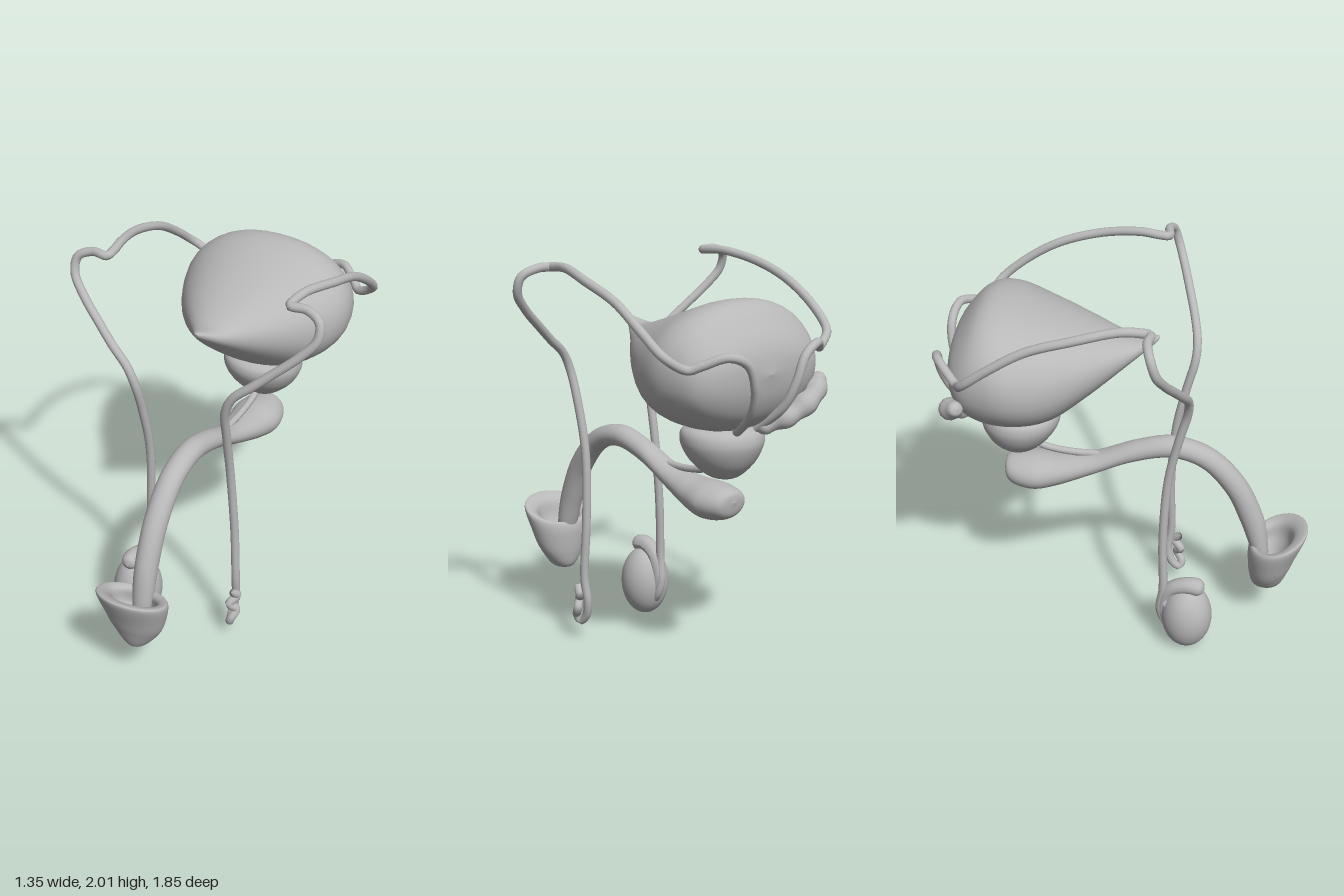
import * as THREE from 'three';

const tissue = new THREE.MeshStandardMaterial({ color: 0xb8b8b8 });
tissue.name = 'tissueGrey';

const V = (x, y, z) => new THREE.Vector3(x, y, z);

function addMesh(group, name, geometry) {
  const mesh = new THREE.Mesh(geometry, tissue);
  mesh.name = name;
  group.add(mesh);
  return mesh;
}

// Smooth loft symmetric in x. Each station is [zA, yA, zB, yB, halfWidth]:
// two opposite outline points in the middle plane, and the half width there.
function loft(stations, power = 1, rows = 72, cols = 40) {
  const spline = (f) => new THREE.CatmullRomCurve3(stations.map(f), false, 'catmullrom', 0.5);
  const sideA = spline((s) => V(0, s[1], s[0]));
  const sideB = spline((s) => V(0, s[3], s[2]));
  const width = spline((s) => V(s[4], 0, 0));
  const soft = (v) => Math.sign(v) * Math.abs(v) ** power;
  const pos = [], index = [];
  for (let i = 0; i <= rows; i++) {
    const t = i / rows;
    const a = sideA.getPoint(t), b = sideB.getPoint(t);
    const w = Math.max(0, width.getPoint(t).x);
    const mid = a.clone().add(b).multiplyScalar(0.5);
    const half = a.sub(mid);
    for (let j = 0; j < cols; j++) {
      const q = (j / cols) * Math.PI * 2;
      const c = soft(Math.cos(q)), s = soft(Math.sin(q));
      pos.push(w * s, mid.y + half.y * c, mid.z + half.z * c);
      if (i < rows) {
        const k = (j + 1) % cols, p = i * cols, n = p + cols;
        index.push(p + j, p + k, n + k, p + j, n + k, n + j);
      }
    }
  }
  const g = new THREE.BufferGeometry();
  g.setAttribute('position', new THREE.Float32BufferAttribute(pos, 3));
  g.setIndex(index);
  g.computeVertexNormals();
  return g;
}

// Tube with rounded ends whose radius follows shape(u)
function tube(points, radius, segments, shape = () => 1) {
  const curve = new THREE.CatmullRomCurve3(points);
  const radial = 12;
  const g = new THREE.TubeGeometry(curve, segments, radius, radial);
  const length = curve.getLength(), p = g.attributes.position, v = V();
  for (let i = 0; i <= segments; i++) {
    const u = i / segments;
    const fromEnd = Math.min(1, (Math.min(u, 1 - u) * length) / radius);
    const k = shape(u) * Math.sqrt(1 - (1 - fromEnd) ** 2);
    const centre = curve.getPointAt(u);
    for (let j = 0; j <= radial; j++) {
      const n = i * (radial + 1) + j;
      v.fromBufferAttribute(p, n).sub(centre).multiplyScalar(k).add(centre);
      p.setXYZ(n, v.x, v.y, v.z);
    }
  }
  if (shape.length) g.computeVertexNormals();
  return g;
}

export function createModel() {
  const group = new THREE.Group();
  group.name = 'maleReproductiveAnatomy';

  // Bladder, from the pointed front to the blunt back
  addMesh(group, 'bladder', loft([
    [0.14, 1.675, 0.14, 1.675, 0],
    [0.13, 1.69, 0.12, 1.65, 0.022],
    [0, 1.672, 0, 1.55, 0.11],
    [-0.2, 1.73, -0.2, 1.39, 0.275],
    [-0.4, 1.80, -0.36, 1.28, 0.39],
    [-0.58, 1.86, -0.52, 1.25, 0.45],
    [-0.7, 1.85, -0.68, 1.26, 0.43],
    [-0.8, 1.75, -0.78, 1.32, 0.37],
    [-0.85, 1.66, -0.84, 1.42, 0.25],
    [-0.87, 1.55, -0.87, 1.55, 0],
  ], 0.93));

  // Prostate, bottom to top
  addMesh(group, 'prostate', loft([
    [-0.57, 1.0, -0.57, 1.0, 0],
    [-0.48, 1.02, -0.64, 1.015, 0.08],
    [-0.39, 1.11, -0.71, 1.09, 0.17],
    [-0.35, 1.2, -0.745, 1.19, 0.208],
    [-0.39, 1.255, -0.7, 1.26, 0.17],
    [-0.55, 1.27, -0.55, 1.27, 0],
  ]));

  // Shaft, from the rear bulb over the arch and down
  addMesh(group, 'shaftAndBulb', loft([
    [-0.64, 0.89, -0.64, 0.89, 0],
    [-0.61, 0.81, -0.62, 0.945, 0.09],
    [-0.5, 0.78, -0.5, 0.965, 0.13],
    [-0.38, 0.80, -0.37, 0.965, 0.11],
    [-0.2, 0.87, -0.18, 0.99, 0.075],
    [0, 0.955, 0.03, 1.075, 0.06],
    [0.2, 1.0, 0.22, 1.112, 0.06],
    [0.36, 0.95, 0.42, 1.045, 0.06],
    [0.49, 0.8, 0.58, 0.88, 0.06],
    [0.57, 0.62, 0.68, 0.67, 0.058],
    [0.62, 0.48, 0.715, 0.5, 0.055],
    [0.66, 0.38, 0.72, 0.38, 0.04],
    [0.69, 0.34, 0.69, 0.34, 0],
  ], 1, 110));

  // Hollow cup: outer wall up, over the rim, inner wall down
  addMesh(group, 'glans', loft([
    [0.72, 0.215, 0.72, 0.215, 0],
    [0.79, 0.24, 0.65, 0.235, 0.06],
    [0.84, 0.36, 0.625, 0.31, 0.13],
    [0.87, 0.45, 0.615, 0.42, 0.165],
    [0.915, 0.575, 0.62, 0.475, 0.185],
    [0.905, 0.598, 0.635, 0.495, 0.17],
    [0.85, 0.56, 0.66, 0.475, 0.125],
    [0.82, 0.46, 0.66, 0.4, 0.1],
    [0.74, 0.34, 0.70, 0.34, 0],
  ]));

  addMesh(group, 'urethra', tube(
    [V(0, 1.06, -0.52), V(0, 1.015, -0.43), V(0, 0.99, -0.3), V(0, 0.985, -0.15)], 0.018, 30));

  // Long ducts: coiled tail, rise, high bend, run along the bladder, descent behind it
  const duct = [
    [0.26, 0.3, 0.25], [0.278, 0.26, 0.21], [0.25, 0.22, 0.25], [0.28, 0.18, 0.225],
    [0.262, 0.13, 0.255], [0.25, 0.1, 0.24], [0.243, 0.14, 0.2], [0.25, 0.22, 0.18],
    [0.257, 0.35, 0.195], [0.245, 0.65, 0.19], [0.23, 1.0, 0.21], [0.235, 1.25, 0.26],
    [0.25, 1.42, 0.302], [0.29, 1.51, 0.305], [0.38, 1.59, 0.285], [0.47, 1.67, 0.255],
    [0.58, 1.77, 0.215], [0.65, 1.86, 0.18], [0.645, 1.94, 0.155], [0.57, 1.975, 0.135],
    [0.49, 1.975, 0.14], [0.485, 1.98, 0.09], [0.5, 1.985, 0], [0.54, 1.95, -0.2],
    [0.545, 1.88, -0.42], [0.545, 1.77, -0.6], [0.515, 1.67, -0.72], [0.42, 1.61, -0.765],
    [0.37, 1.63, -0.81], [0.28, 1.665, -0.88], [0.18, 1.62, -0.905], [0.13, 1.5, -0.9],
    [0.1, 1.38, -0.85], [0.06, 1.25, -0.7],
  ];
  for (const [side, name] of [[1, 'leftDuct'], [-1, 'rightDuct']]) {
    addMesh(group, name, tube(duct.map(([x, y, z]) => V(side * x, y, z)), 0.022, 320));
  }

  // Right testis with its capping epididymis
  const testis = addMesh(group, 'rightTestis', new THREE.SphereGeometry(1, 40, 28));
  testis.scale.set(0.125, 0.185, 0.13);
  testis.position.set(-0.255, 0.187, 0.32);
  addMesh(group, 'rightEpididymis', tube(
    [V(-0.265, 0.37, 0.41), V(-0.265, 0.385, 0.32), V(-0.255, 0.345, 0.235),
      V(-0.25, 0.22, 0.2), V(-0.25, 0.1, 0.225)],
    0.05, 48, (u) => 1 - 0.55 * u));

  // Lumpy seminal vesicle behind the bladder on the right
  addMesh(group, 'rightSeminalVesicle', tube(
    [V(-0.06, 1.25, -0.72), V(-0.17, 1.32, -0.82), V(-0.3, 1.4, -0.84), V(-0.42, 1.48, -0.77)],
    0.05, 60, (u) => 0.55 + 0.5 * Math.sin(Math.PI * Math.min(1, u * 0.8)) + 0.1 * Math.sin(u * 26)));

  return group;
}
